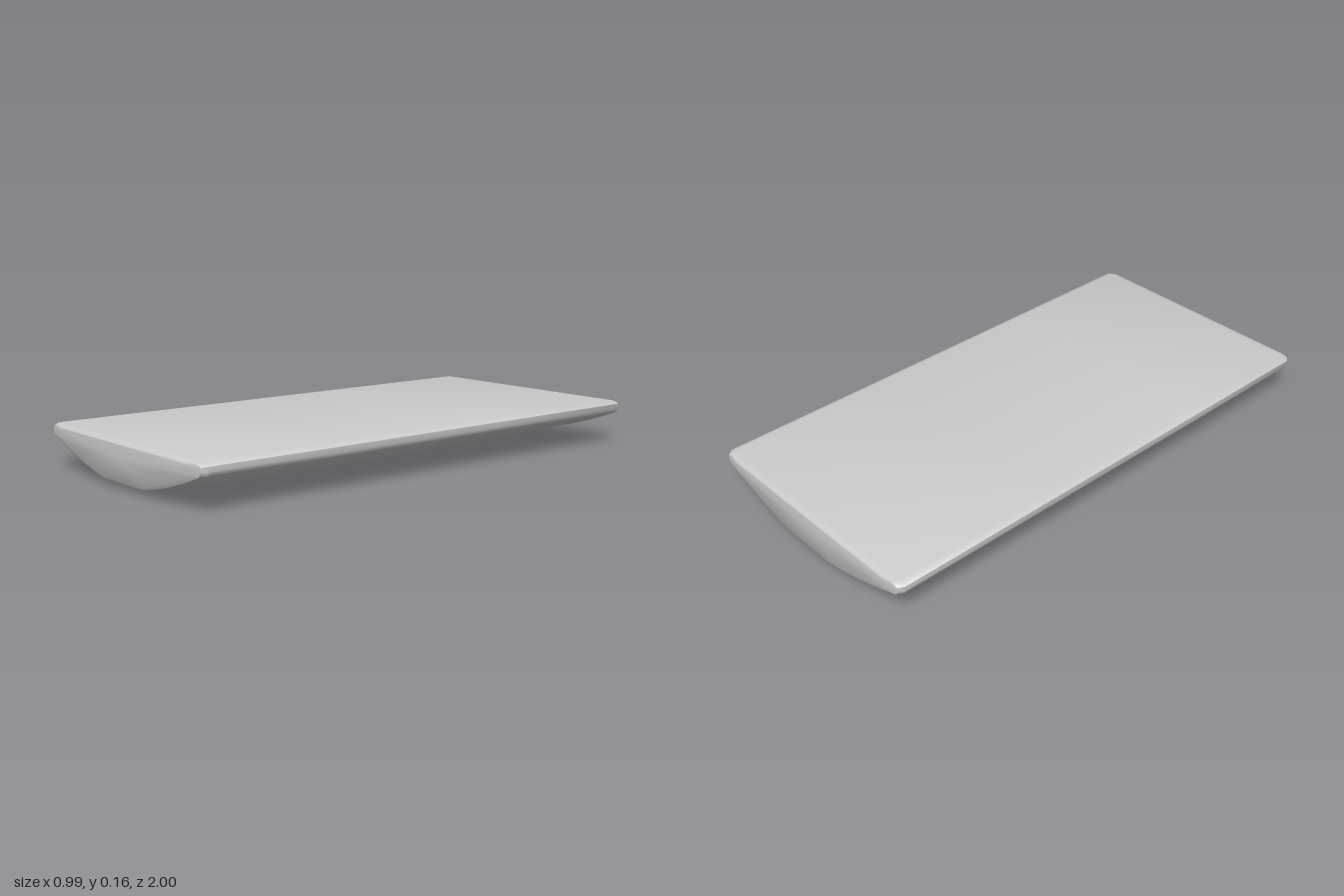
import * as THREE from 'three';
import { toCreasedNormals } from 'three/addons/utils/BufferGeometryUtils.js';

export function createModel() {
  const group = new THREE.Group();

  // Half cross-section, from the keel up to the flat top
  const half = [
    [0.11, 0], [0.15, 0.005], [0.2, 0.017], [0.3, 0.045], [0.4, 0.08],
    [0.48, 0.112], [0.492, 0.12], [0.497, 0.133], [0.497, 0.153], [0.488, 0.159], [0.47, 0.164],
  ];
  const section = [...half, ...half.map(([x, y]) => [-x, y]).reverse()];

  // Stations along the length: z, width scale, height scale, keel lift
  const stations = [
    [-1, 0.86, 0.82, 0.01], [-0.993, 0.97, 0.93, 0.01], [-0.972, 1, 1, 0.01],
    [-0.3, 1, 1, 0.005], [0.45, 1, 1, 0],
    [0.972, 1, 1, 0.01], [0.993, 0.97, 0.93, 0.01], [1, 0.86, 0.82, 0.01],
  ];
  const n = section.length, midY = 0.1, topY = 0.164;
  const positions = [], index = [];
  for (const [z, sx, sy, lift] of stations) {
    for (const [x, y] of section) {
      const py = y + lift * (1 - y / topY);
      positions.push(x * sx, midY + (py - midY) * sy, z);
    }
  }

  // Skin between neighbouring stations
  for (let i = 0; i < stations.length - 1; i++) {
    for (let j = 0; j < n; j++) {
      const a = i * n + j, b = i * n + (j + 1) % n;
      index.push(a, b, b + n, a, b + n, a + n);
    }
  }

  // End caps
  const back = positions.length / 3, front = back + 1, last = (stations.length - 1) * n;
  positions.push(0, midY, -1, 0, midY, 1);
  for (let j = 0; j < n; j++) {
    const k = (j + 1) % n;
    index.push(back, k, j, front, last + j, last + k);
  }

  const geometry = new THREE.BufferGeometry();
  geometry.setAttribute('position', new THREE.Float32BufferAttribute(positions, 3));
  geometry.setIndex(index);

  const slab = new THREE.Mesh(
    toCreasedNormals(geometry, 0.7),
    new THREE.MeshStandardMaterial({ color: 0xcccccc }),
  );
  slab.name = 'curvedSlab';
  group.add(slab);
  return group;
}
